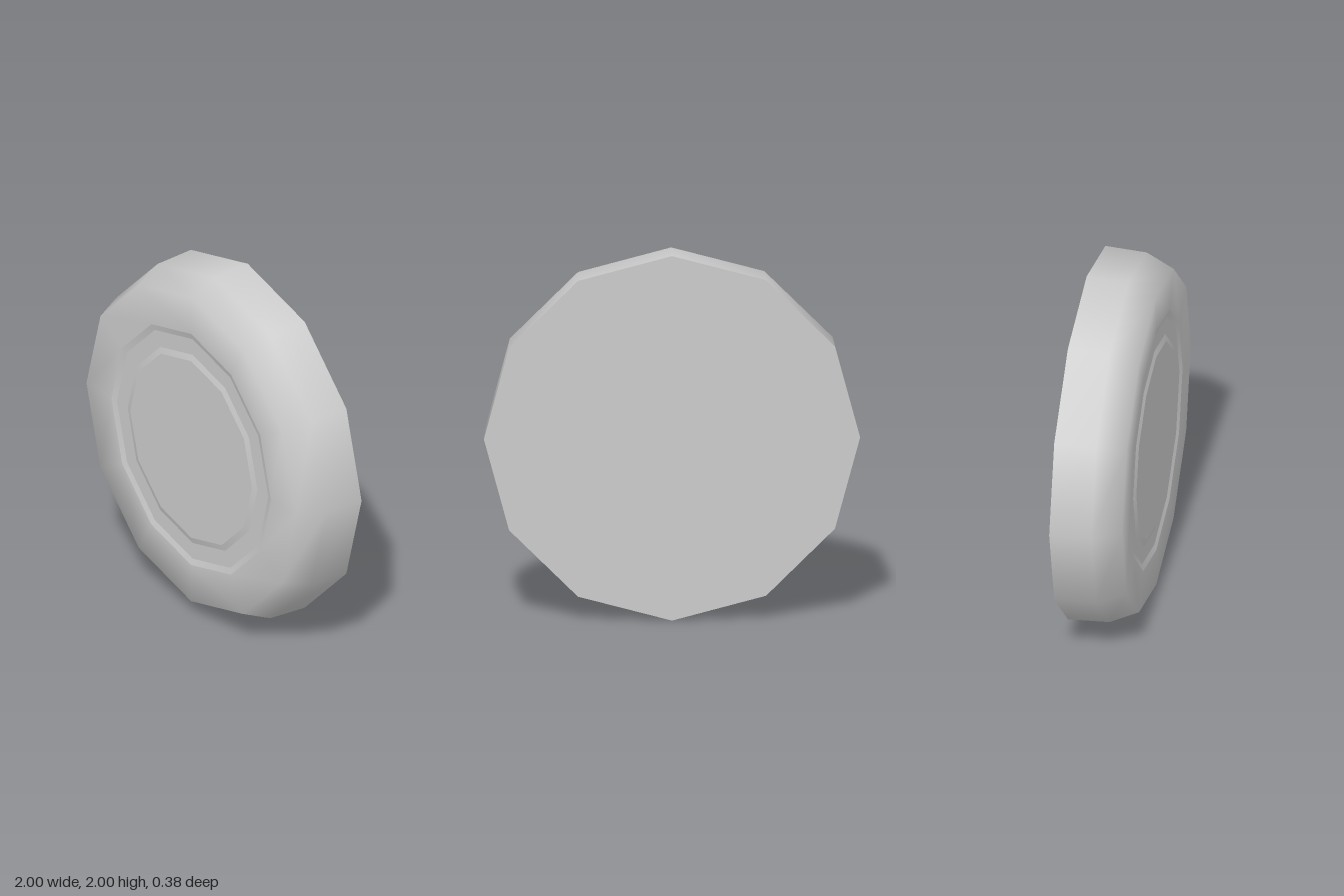
import * as THREE from 'three';

const SIDES = 12;
const material = new THREE.MeshStandardMaterial({ color: 0xcccccc });

// Turns a [radius, z] profile, running back to front, around the z axis.
function turned(name, profile) {
  const points = profile.map(([r, z]) => new THREE.Vector2(r, z));
  const geometry = new THREE.LatheGeometry(points, SIDES).rotateX(Math.PI / 2);
  const mesh = new THREE.Mesh(geometry, material);
  mesh.name = name;
  return mesh;
}

// Flat twelve-sided cap facing +z, or -z when it closes the back.
function cap(name, radius, z, back = false) {
  const geometry = new THREE.CircleGeometry(radius, SIDES);
  if (back) geometry.rotateY(Math.PI);
  geometry.translate(0, 0, z);
  const mesh = new THREE.Mesh(geometry, material);
  mesh.name = name;
  return mesh;
}

export function createModel() {
  const model = new THREE.Group();
  model.name = 'disc';

  const back = -0.19, face = 0.188, floor = 0.178;

  // Smooth outer wall, bevel and front ring
  model.add(turned('rim', [[1, back], [0.99, 0.035], [0.92, face], [0.7, face]]));

  // Shallow groove: each strip is its own lathe so its edges stay sharp
  model.add(turned('grooveOuterWall', [[0.7, face], [0.665, floor]]));
  model.add(turned('grooveFloor', [[0.665, floor], [0.57, floor]]));
  model.add(turned('grooveInnerWall', [[0.57, floor], [0.535, face]]));

  // Flat centre and back
  model.add(cap('hubFace', 0.535, face));
  model.add(cap('backPlate', 1, back, true));

  // Stand the disc on the ground
  for (const part of model.children) part.position.y = 1;
  return model;
}
